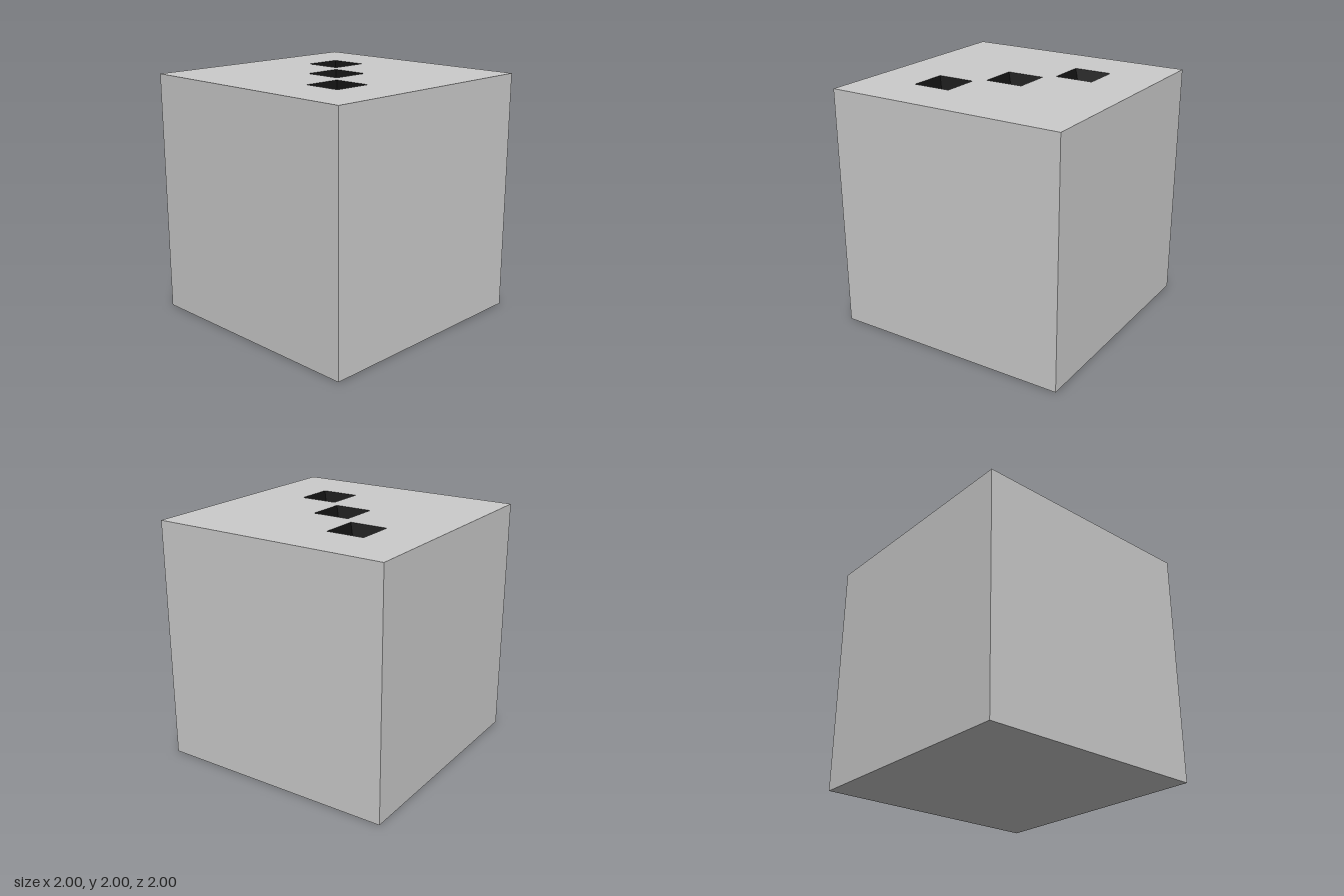
import * as THREE from 'three';

const SIZE = 2;
const PIT_HALF = 0.16;
const PIT_DEPTH = 0.3;
const PIT_CENTRES = [-0.4, 0, 0.4]; // along the diagonal, x = z

export function createModel() {
  const model = new THREE.Group();
  const grey = new THREE.MeshStandardMaterial({ color: 0xcccccc, flatShading: true });
  const black = new THREE.MeshStandardMaterial({ color: 0x101010, flatShading: true, side: THREE.DoubleSide });

  const add = (name, geometry, material) => {
    const mesh = new THREE.Mesh(geometry, material);
    mesh.name = name;
    model.add(mesh);
  };

  const traceSquare = (path, x, y, h) => {
    path.moveTo(x - h, y - h).lineTo(x + h, y - h).lineTo(x + h, y + h).lineTo(x - h, y + h).closePath();
    return path;
  };

  // Four side walls
  const walls = new THREE.CylinderGeometry(Math.SQRT2, Math.SQRT2, SIZE, 4, 1, true);
  walls.rotateY(Math.PI / 4).translate(0, SIZE / 2, 0);
  add('sideWalls', walls, grey);

  // Underside
  add('underside', new THREE.PlaneGeometry(SIZE, SIZE).rotateX(Math.PI / 2), grey);

  // Top face with three square openings
  const top = traceSquare(new THREE.Shape(), 0, 0, SIZE / 2);
  for (const c of PIT_CENTRES) top.holes.push(traceSquare(new THREE.Path(), c, -c, PIT_HALF));
  add('topFace', new THREE.ShapeGeometry(top).rotateX(-Math.PI / 2).translate(0, SIZE, 0), grey);

  // Dark pits shaped like upside-down pyramids
  for (const c of PIT_CENTRES) {
    const pit = new THREE.ConeGeometry(PIT_HALF * Math.SQRT2, PIT_DEPTH, 4, 1, true);
    pit.rotateY(Math.PI / 4).rotateX(Math.PI).translate(c, SIZE - PIT_DEPTH / 2, c);
    add('pit', pit, black);
  }

  return model;
}
